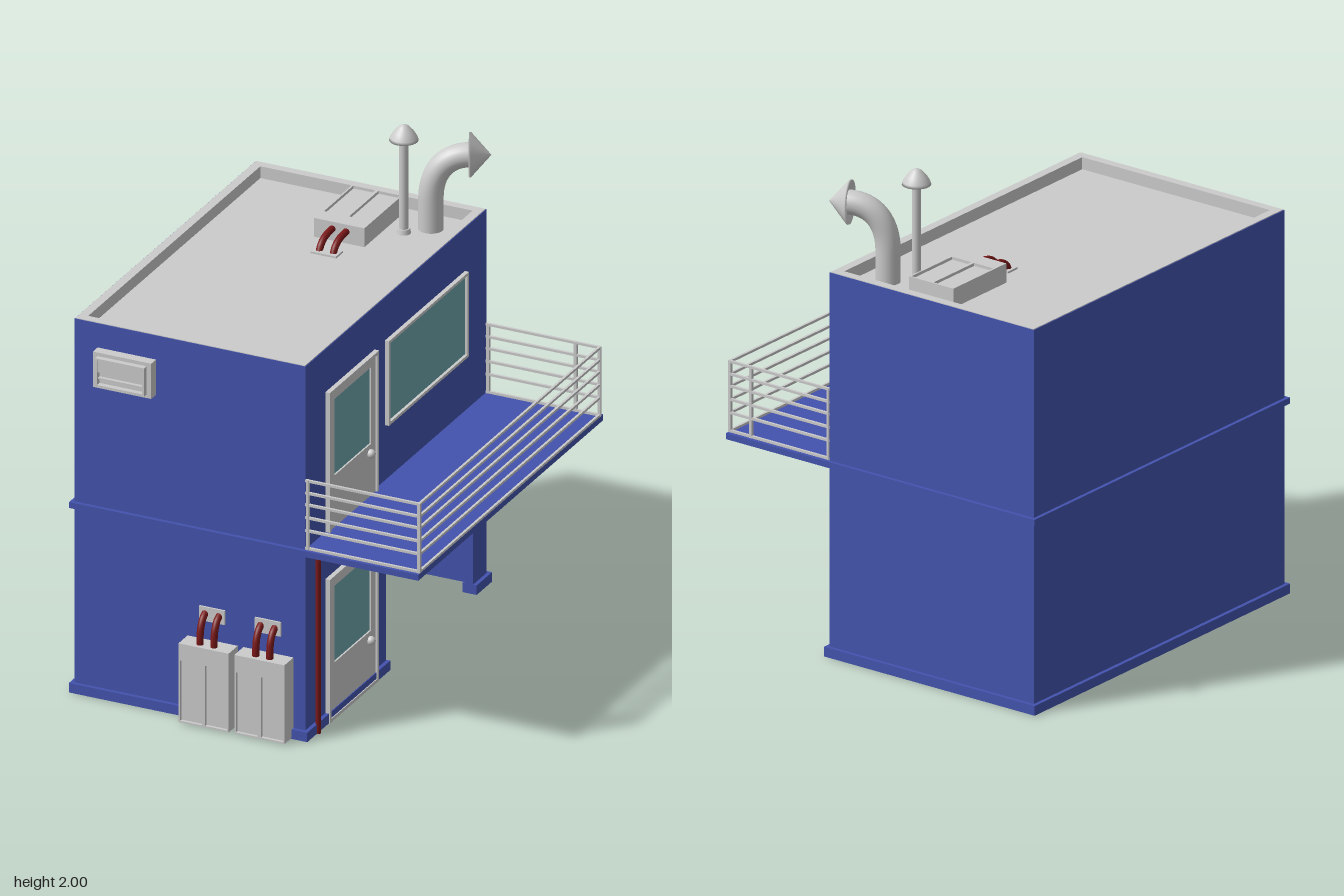
import * as THREE from 'three';

const mat = (color, side = THREE.FrontSide) => new THREE.MeshStandardMaterial({ color, side });
const GREY = mat(0xcccccc), BLUE = mat(0x4353ad), GLASS = mat(0x6fa5ad), RED = mat(0x7a1818);
const GREY2 = mat(0xcccccc, THREE.DoubleSide);

function add(parent, name, geo, material, x = 0, y = 0, z = 0) {
  const m = new THREE.Mesh(geo, material);
  m.name = name;
  m.position.set(x, y, z);
  parent.add(m);
  return m;
}

// Box given by its min and max on each axis
function block(parent, name, material, x0, x1, y0, y1, z0, z1) {
  return add(parent, name, new THREE.BoxGeometry(x1 - x0, y1 - y0, z1 - z0), material,
    (x0 + x1) / 2, (y0 + y1) / 2, (z0 + z1) / 2);
}

// Rectangular ring in the XY plane, extruded along +z
function ring(w, h, t, depth) {
  const rect = (C, a, b) => new C([[-a, -b], [a, -b], [a, b], [-a, b]].map(p => new THREE.Vector2(...p)));
  const s = rect(THREE.Shape, w / 2, h / 2);
  s.holes.push(rect(THREE.Path, w / 2 - t, h / 2 - t));
  return new THREE.ExtrudeGeometry(s, { depth, bevelEnabled: false });
}

function subgroup(parent, name, x, y, z, rx = 0, ry = 0) {
  const g = new THREE.Group();
  g.name = name;
  g.position.set(x, y, z);
  g.rotation.set(rx, ry, 0);
  parent.add(g);
  return g;
}

// Half-glazed door, standing on local y = 0 and facing +z
function door(parent, name, y) {
  const g = subgroup(parent, name, 0.255, y, 0.37, 0, Math.PI / 2);
  add(g, 'doorFrame', ring(0.43, 0.61, 0.014, 0.02), GREY, 0, 0.305, 0);
  add(g, 'doorLeafTop', ring(0.402, 0.41, 0.042, 0.012), GREY, 0, 0.397, 0);
  block(g, 'doorLeafBottom', GREY, -0.201, 0.201, 0.005, 0.235, 0, 0.012);
  block(g, 'doorGlass', GLASS, -0.165, 0.165, 0.235, 0.565, -0.005, 0.005);
  add(g, 'doorKnob', new THREE.SphereGeometry(0.018, 16, 12), GREY, 0.145, 0.2, 0.02);
}

// Cabinet with two recessed panels and a pair of pipes bending into the wall at z = 0
function coolingUnit(parent, name, x, y, z, rx = 0, ry = 0) {
  const g = subgroup(parent, name, x, y, z, rx, ry);
  block(g, 'cabinet', GREY, -0.1075, 0.1075, 0, 0.335, 0, 0.068);
  block(g, 'cabinetHead', GREY, -0.1075, 0.1075, 0.27, 0.335, 0.06, 0.08);
  for (const s of [-1, 1]) {
    add(g, 'panelFrame', ring(0.1075, 0.27, 0.007, 0.02), GREY, s * 0.05375, 0.135, 0.06);
    const path = new THREE.CatmullRomCurve3([[0.05, 0.32], [0.05, 0.36], [0.042, 0.405], [0.024, 0.435], [0, 0.45]]
      .map(([pz, py]) => new THREE.Vector3(s * 0.03, py, pz)));
    add(g, 'coolantPipe', new THREE.TubeGeometry(path, 16, 0.014, 12), RED);
  }
  block(g, 'pipePlate', GREY, -0.055, 0.055, 0.415, 0.475, 0, 0.008);
}

export function createModel() {
  const model = new THREE.Group();
  const X0 = -0.735, X1 = 0.255, Z0 = -0.825, Z1 = 0.76, T = 0.035;
  const cx = (X0 + X1) / 2, cz = (Z0 + Z1) / 2;

  // Hollow ground storey with an open garage bay
  block(model, 'sideWall', BLUE, X0, X0 + T, 0, 0.79, Z0, Z1);
  block(model, 'backWall', BLUE, X0 + T, X1 - T, 0, 0.79, Z0, Z0 + T);
  block(model, 'frontWall', BLUE, X0 + T, X1 - T, 0, 0.79, Z1 - T, Z1);
  const bay = new THREE.Shape([[-Z1, 0], [-0.055, 0], [-0.055, 0.6], [0.705, 0.6], [0.705, 0], [-Z0, 0], [-Z0, 0.79], [-Z1, 0.79]]
    .map(p => new THREE.Vector2(...p)));
  add(model, 'garageWall', new THREE.ExtrudeGeometry(bay, { depth: T, bevelEnabled: false }), BLUE, X1 - T).rotation.y = Math.PI / 2;

  // Plinth strips, interrupted at the garage bay
  const P = 0.016, H = 0.04;
  block(model, 'plinth', BLUE, X0 - P, X0 + 0.01, 0, H, Z0 - P, Z1 + P);
  block(model, 'plinth', BLUE, X0, X1 + P, 0, H, Z0 - P, Z0 + 0.01);
  block(model, 'plinth', BLUE, X0, X1 + P, 0, H, Z1 - 0.01, Z1 + P);
  block(model, 'plinth', BLUE, X1 - T - 0.01, X1 + P, 0, H, 0.05, Z1);
  block(model, 'plinth', BLUE, X1 - T - 0.01, X1 + P, 0, H, Z0, -0.705);

  // Floor slab reaching out as the balcony, and upper storey
  block(model, 'balconySlab', BLUE, -0.75, 0.747, 0.785, 0.81, Z0 - P, Z1 + P);
  block(model, 'upperStorey', BLUE, X0, X1, 0.81, 1.535, Z0, Z1);

  // Flat roof with a lined parapet
  block(model, 'roof', GREY, X0 + 0.01, X1 - 0.01, 1.53, 1.54, Z0 + 0.01, Z1 - 0.01);
  add(model, 'parapet', ring(X1 - X0, Z1 - Z0, 0.005, 0.052), BLUE, cx, 1.587, cz).rotation.x = Math.PI / 2;
  add(model, 'parapetLining', ring(X1 - X0 - 0.006, Z1 - Z0 - 0.006, 0.037, 0.055), GREY, cx, 1.59, cz).rotation.x = Math.PI / 2;

  // Doors and window
  door(model, 'lowerDoor', 0);
  door(model, 'upperDoor', 0.795);
  const win = subgroup(model, 'window', X1, 1.225, -0.285, 0, Math.PI / 2);
  add(win, 'windowFrame', ring(0.7, 0.36, 0.012, 0.018), GREY);
  block(win, 'windowGlass', GLASS, -0.34, 0.34, -0.17, 0.17, -0.005, 0.006);

  // Balcony railing
  const R = 0.005, rx = 0.742, zb = -0.82, zf = 0.757;
  for (const y of [0.815, 0.89, 0.945, 1.0, 1.05, 1.102]) {
    block(model, 'longRail', GREY, rx - R, rx + R, y - R, y + R, zb, zf);
    for (const z of [zb, zf]) block(model, 'endRail', GREY, X1, rx + R, y - R, y + R, z - R, z + R);
  }
  for (const [x, z] of [[0.265, zb], [0.265, zf], [rx, zb], [rx, zf], [0.64, zb]])
    block(model, 'railingPost', GREY, x - 0.006, x + 0.006, 0.81, 1.107, z - 0.006, z + 0.006);

  // Downpipe
  add(model, 'downpipe', new THREE.CylinderGeometry(0.011, 0.011, 0.785, 16), RED, 0.272, 0.3925, 0.682);

  // Cooling units on the front wall and on the roof
  coolingUnit(model, 'wallUnitA', -0.142, 0.005, Z1);
  coolingUnit(model, 'wallUnitB', 0.097, 0.005, Z1);
  coolingUnit(model, 'roofUnit', -0.168, 1.54, -0.735, Math.PI / 2, Math.PI);

  // Vent box high on the front wall
  const vent = subgroup(model, 'ventBox', -0.51, 1.41, Z1);
  block(vent, 'ventBody', GREY, -0.125, 0.125, -0.075, 0.075, 0, 0.042);
  add(vent, 'ventRim', ring(0.21, 0.12, 0.008, 0.024), GREY, 0, 0, 0.04);
  block(vent, 'ventCover', GREY, -0.1, 0.1, 0, 0.054, 0.04, 0.058);
  block(vent, 'ventSlat', GREY, -0.1, 0.1, -0.03, -0.024, 0.04, 0.056);

  // Straight flue with a domed cap
  const flue = subgroup(model, 'flue', 0.018, 1.54, -0.585);
  add(flue, 'fluePipe', new THREE.CylinderGeometry(0.018, 0.018, 0.41, 20), GREY, 0, 0.205, 0);
  add(flue, 'flueCollar', new THREE.CylinderGeometry(0.024, 0.028, 0.02, 20), GREY, 0, 0.01, 0);
  const cap = [[0, 0.397], [0.057, 0.395], [0.054, 0.407], [0.04, 0.43], [0.02, 0.452], [0.008, 0.459], [0, 0.46]];
  add(flue, 'flueCap', new THREE.LatheGeometry(cap.map(p => new THREE.Vector2(...p)), 28), GREY2);

  // Bent exhaust duct with a conical cowl
  const duct = subgroup(model, 'exhaustDuct', 0.095, 1.54, -0.665, 0, 0.44);
  const bend = new THREE.CurvePath();
  const v = (x, y) => new THREE.Vector3(x, y, 0);
  bend.add(new THREE.LineCurve3(v(0, 0), v(0, 0.13)));
  bend.add(new THREE.CubicBezierCurve3(v(0, 0.13), v(0, 0.235), v(0.05, 0.315), v(0.155, 0.315)));
  add(duct, 'ductPipe', new THREE.TubeGeometry(bend, 32, 0.049, 24), GREY2);
  const cowl = [[0.05, 0.012], [0.087, -0.004], [0.088, 0.004], [0, 0.083]];
  add(duct, 'ductCowl', new THREE.LatheGeometry(cowl.map(p => new THREE.Vector2(...p)), 32), GREY2, 0.15, 0.315, 0)
    .rotation.z = -Math.PI / 2;

  return model;
}
